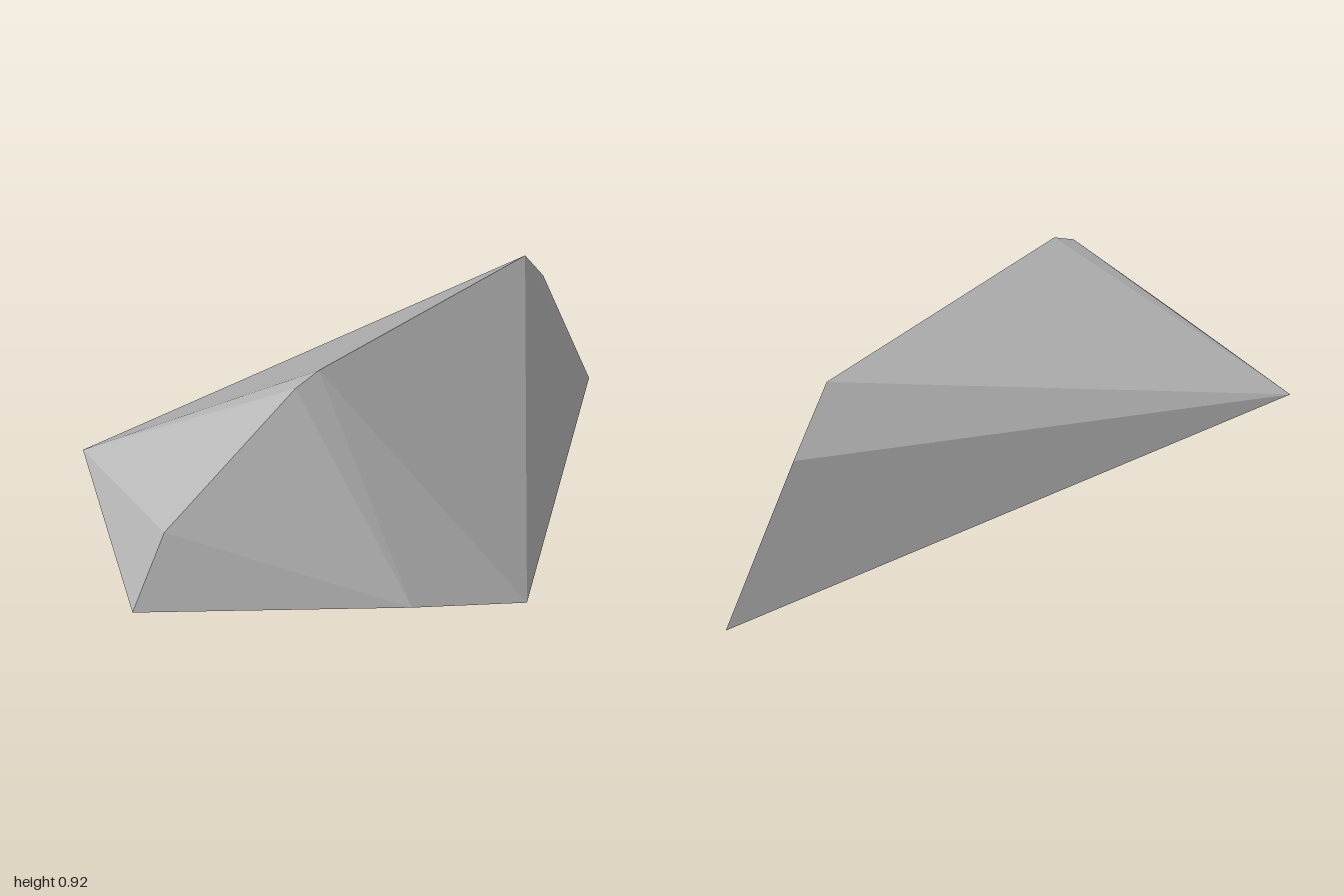
import * as THREE from 'three';
import { ConvexGeometry } from 'three/addons/geometries/ConvexGeometry.js';

export function createModel() {
  const stone = new THREE.MeshStandardMaterial({ color: 0xb4b4b4 });
  stone.name = 'stone grey';

  // Corners of the faceted boulder
  const corners = [
    // crest, left end to right end
    [-0.44, 0.89, 0.125], [-0.36, 0.92, 0.12], [0.595, 0.855, -0.185], [0.745, 0.69, -0.265],
    // side tips
    [-1, 0.245, 0.07], [-0.915, 0.462, -0.475], [-0.868, 0.512, 0.08], [1, 0.16, -0.25],
    // front foot and underside
    [0.18, 0, 0.475], [-0.24, 0.168, 0.432], [-0.06, 0, 0.18],
  ].map((p) => new THREE.Vector3(...p));

  // Flat-faced convex shell around the corners
  const boulder = new THREE.Mesh(new ConvexGeometry(corners), stone);
  boulder.name = 'boulder';

  const model = new THREE.Group();
  model.name = 'rock';
  model.add(boulder);
  return model;
}
